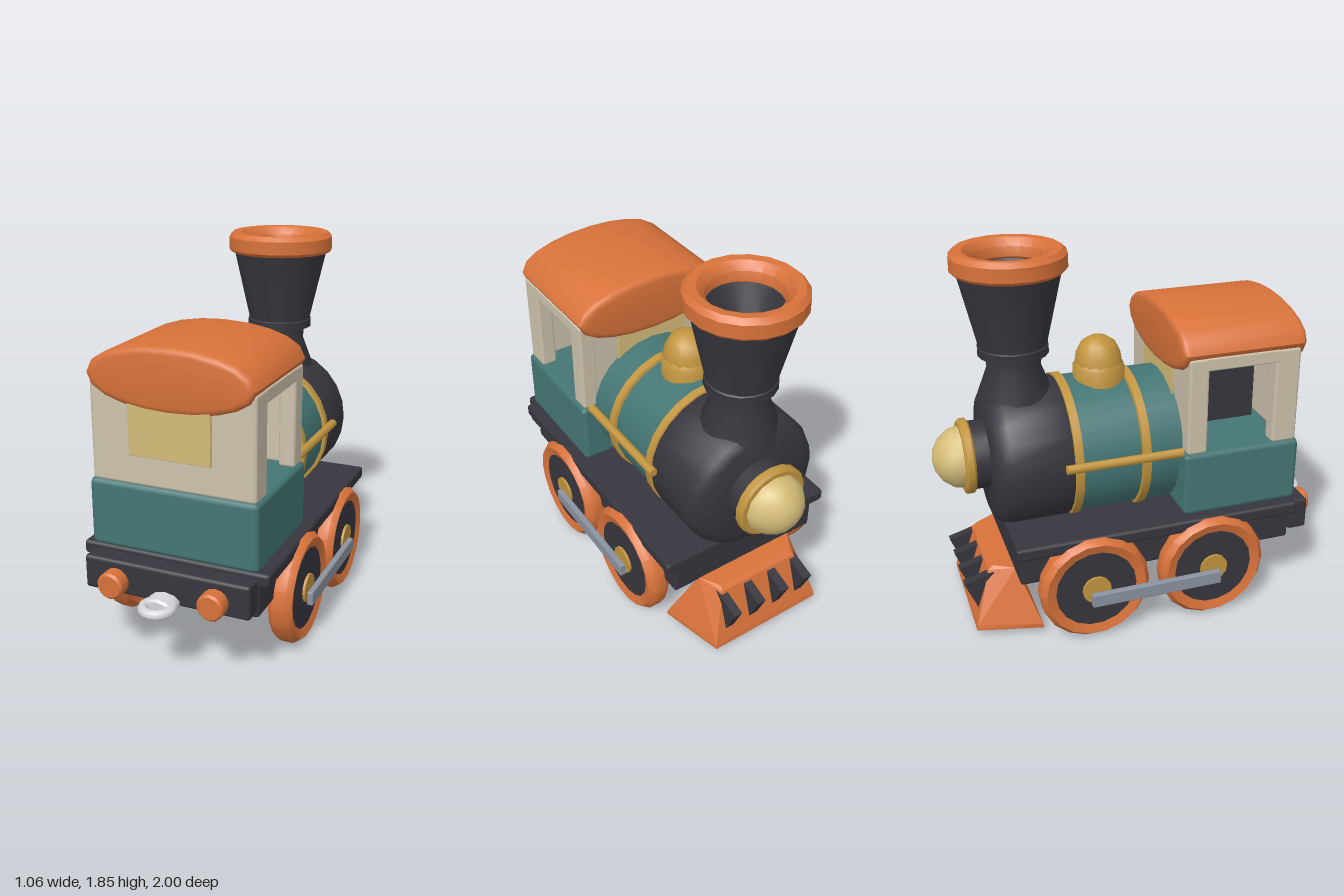
import * as THREE from 'three';
import { toCreasedNormals } from 'three/addons/utils/BufferGeometryUtils.js';
import { RoundedBoxGeometry } from 'three/addons/geometries/RoundedBoxGeometry.js';
import { ConvexGeometry } from 'three/addons/geometries/ConvexGeometry.js';

const colour = (name, hex) => {
  const m = new THREE.MeshStandardMaterial({ color: hex });
  m.name = name;
  return m;
};

export function createModel() {
  const orange = colour('orange', 0xd8723a);
  const dark = colour('charcoal', 0x37363e);
  const green = colour('teal', 0x447674);
  const cream = colour('cream', 0xcdc2ac);
  const brass = colour('brass', 0xc2953f);
  const pale = colour('pale yellow', 0xd4bc78);
  const steel = colour('steel', 0x8a92a0);
  const silver = colour('silver', 0xd6d8dc);

  const model = new THREE.Group();
  model.name = 'locomotive';
  const add = (name, geo, mat, x = 0, y = 0, z = 0, parent = model) => {
    const mesh = new THREE.Mesh(geo, mat);
    mesh.name = name;
    mesh.position.set(x, y, z);
    parent.add(mesh);
    return mesh;
  };
  // box given by its limits on each axis, with a small bevel
  const block = (name, mat, [x0, x1], [y0, y1], [z0, z1], bevel = 0.015) =>
    add(name, new RoundedBoxGeometry(x1 - x0, y1 - y0, z1 - z0, 1, bevel), mat,
      (x0 + x1) / 2, (y0 + y1) / 2, (z0 + z1) / 2);
  // turned shape from [radius, height] pairs, bottom to top
  const turned = (points, sides = 16, crease = 0.7) =>
    toCreasedNormals(new THREE.LatheGeometry(points.map(p => new THREE.Vector2(...p)), sides), crease);
  // turned shape lying along z, with heights running towards -z
  const alongZ = (points, sides, crease) => turned(points, sides, crease).rotateX(-Math.PI / 2);

  // chassis
  block('frame', dark, [-0.415, 0.415], [0.32, 0.5], [-0.68, 0.73]);
  block('deck', dark, [-0.47, 0.47], [0.485, 0.55], [-0.7, 0.745]);
  block('rearBeam', dark, [-0.415, 0.415], [0.36, 0.525], [0.73, 0.835]);
  for (const s of [-1, 1]) {
    add('buffer', alongZ([[0, -0.905], [0.055, -0.905], [0.065, -0.895], [0.065, -0.82]], 14),
      orange, s * 0.25, 0.425, 0);
  }
  add('couplingBase', alongZ([[0, -0.92], [0.035, -0.92], [0.045, -0.91], [0.045, -0.82]], 10), silver, 0, 0.375, 0)
    .scale.x = 1.7;
  add('couplingRing', new THREE.TorusGeometry(0.066, 0.025, 8, 16).rotateX(Math.PI / 2), silver, 0, 0.377, 0.909);

  // wheels and side rods
  const tyre = turned([[0.2, -0.045], [0.25, -0.06], [0.275, -0.03], [0.275, 0.03], [0.25, 0.06], [0.2, 0.045], [0.2, -0.045]], 18)
    .rotateZ(Math.PI / 2);
  const disc = new THREE.CylinderGeometry(0.203, 0.203, 0.094, 18).rotateZ(Math.PI / 2);
  const hub = new THREE.CylinderGeometry(0.072, 0.072, 0.12, 14).rotateZ(Math.PI / 2);
  for (const s of [-1, 1]) {
    for (const z of [0.285, -0.325]) {
      const wheel = new THREE.Group();
      wheel.name = 'wheel';
      wheel.position.set(s * 0.442, 0.275, z);
      model.add(wheel);
      add('tyre', tyre, orange, 0, 0, 0, wheel);
      add('wheelDisc', disc, dark, 0, 0, 0, wheel);
      add('wheelHub', hub, brass, 0, 0, 0, wheel);
    }
    const rod = s > 0 ? [0.498, 0.53] : [-0.53, -0.498];
    block('sideRod', steel, rod, [0.195, 0.265], [-0.355, 0.315], 0.006);
  }

  // track guard wedge with its teeth
  const corners = [];
  for (const s of [-1, 1]) {
    for (const [x, y, z] of [[0.39, 0.035, -0.57], [0.39, 0.06, -0.575], [0.31, 0.035, -0.89], [0.307, 0.06, -0.885],
      [0.275, 0.335, -0.675], [0.215, 0.335, -0.775], [0.22, 0.315, -0.8]]) {
      corners.push(new THREE.Vector3(s * x, y, z));
    }
  }
  add('trackGuard', new ConvexGeometry(corners), orange);
  for (const x of [-0.215, -0.072, 0.072, 0.215]) {
    const tooth = [];
    for (const w of [-0.023, 0.023]) {
      for (const [y, z] of [[0.31, -0.77], [0.265, -0.925], [0.12, -0.865], [0.12, -0.83]]) {
        tooth.push(new THREE.Vector3(w, y, z));
      }
    }
    add('guardTooth', new ConvexGeometry(tooth), dark, x);
  }

  // boiler, bands and handrails
  const axisY = 0.84;
  add('boiler', alongZ([[0.345, -0.17], [0.345, 0.39]], 24), green, 0, axisY);
  for (const z of [-0.02, -0.355]) {
    add('boilerBand', alongZ([[0.34, -z - 0.025], [0.361, -z - 0.02], [0.361, -z + 0.02], [0.34, -z + 0.025]], 24),
      brass, 0, axisY);
  }
  for (const s of [-1, 1]) {
    add('handrail', new THREE.CylinderGeometry(0.022, 0.022, 0.58, 10).rotateX(Math.PI / 2), brass, s * 0.368, 0.88, -0.135);
  }
  add('smokebox', alongZ([[0, 0.375], [0.35, 0.375], [0.355, 0.385], [0.355, 0.67], [0.335, 0.715], [0.29, 0.742], [0, 0.742]], 24, 0.9),
    dark, 0, axisY);

  // headlight
  add('lampDrum', alongZ([[0.17, 0.73], [0.17, 0.83]], 18), dark, 0, 0.845);
  add('lampRing', alongZ([[0, 0.812], [0.175, 0.812], [0.187, 0.822], [0.187, 0.85], [0.175, 0.862], [0, 0.862]], 18), brass, 0, 0.845);
  add('lampLens', alongZ([[0.155, 0.855], [0.143, 0.91], [0.105, 0.96], [0.055, 0.99], [0, 1]], 12, 0.9), pale, 0, 0.845);

  // steam dome
  add('domeBase', turned([[0.128, 1.14], [0.128, 1.24], [0.115, 1.26], [0, 1.26]], 16), brass, 0, 0, -0.155);
  add('domeCap', turned([[0.118, 1.25], [0.112, 1.3], [0.085, 1.355], [0.045, 1.382], [0, 1.39]], 14, 0.9), brass, 0, 0, -0.155);

  // chimney
  add('chimney', turned([[0.19, 1.08], [0.185, 1.14], [0.13, 1.285], [0.135, 1.35], [0.17, 1.355], [0.17, 1.395],
    [0.163, 1.4], [0.245, 1.76], [0.19, 1.77], [0.12, 1.6], [0, 1.6]], 18), dark, 0, 0, -0.575);
  add('chimneyRim', turned([[0.19, 1.755], [0.26, 1.755], [0.273, 1.77], [0.273, 1.835], [0.25, 1.858],
    [0.21, 1.855], [0.175, 1.82], [0.17, 1.77], [0.19, 1.755]], 18), orange, 0, 0, -0.575);

  // cab
  block('cabBase', green, [-0.42, 0.42], [0.55, 0.88], [0.15, 0.755], 0.025);
  block('cabRearWall', cream, [-0.4, 0.4], [0.875, 1.36], [0.69, 0.742]);
  block('cabFrontWall', cream, [-0.4, 0.4], [0.875, 1.36], [0.168, 0.22]);
  for (const s of [-1, 1]) {
    const side = s > 0 ? [0.32, 0.405] : [-0.405, -0.32];
    block('rearPost', cream, side, [0.875, 1.365], [0.61, 0.74]);
    block('frontPost', cream, side, [0.875, 1.365], [0.165, 0.268]);
    block('windowHeader', cream, side, [1.298, 1.365], [0.25, 0.63], 0.01);
  }
  block('cabInterior', dark, [-0.15, 0.15], [0.915, 1.29], [0.255, 0.62], 0.005);
  for (const z of [0.748, 0.158]) {
    block('windowPane', pale, [-0.2, 0.2], [1.025, 1.275], [z - 0.0045, z + 0.0045], 0.003);
  }
  block('rearWindowPanel', pale, [-0.2, 0.2], [1.025, 1.275], [0.756, 0.764], 0.003);

  // lens-shaped roof with softened ends
  const roofShape = new THREE.Shape();
  roofShape.absellipse(0, 0, 0.375, 0.12, 0, Math.PI * 2);
  const roof = new THREE.ExtrudeGeometry(roofShape, {
    depth: 0.575, bevelEnabled: true, bevelThickness: 0.03, bevelSize: 0.03, bevelSegments: 3, curveSegments: 10,
  });
  add('roof', toCreasedNormals(roof, 0.8), orange, 0, 1.386, 0.165);

  return model;
}
